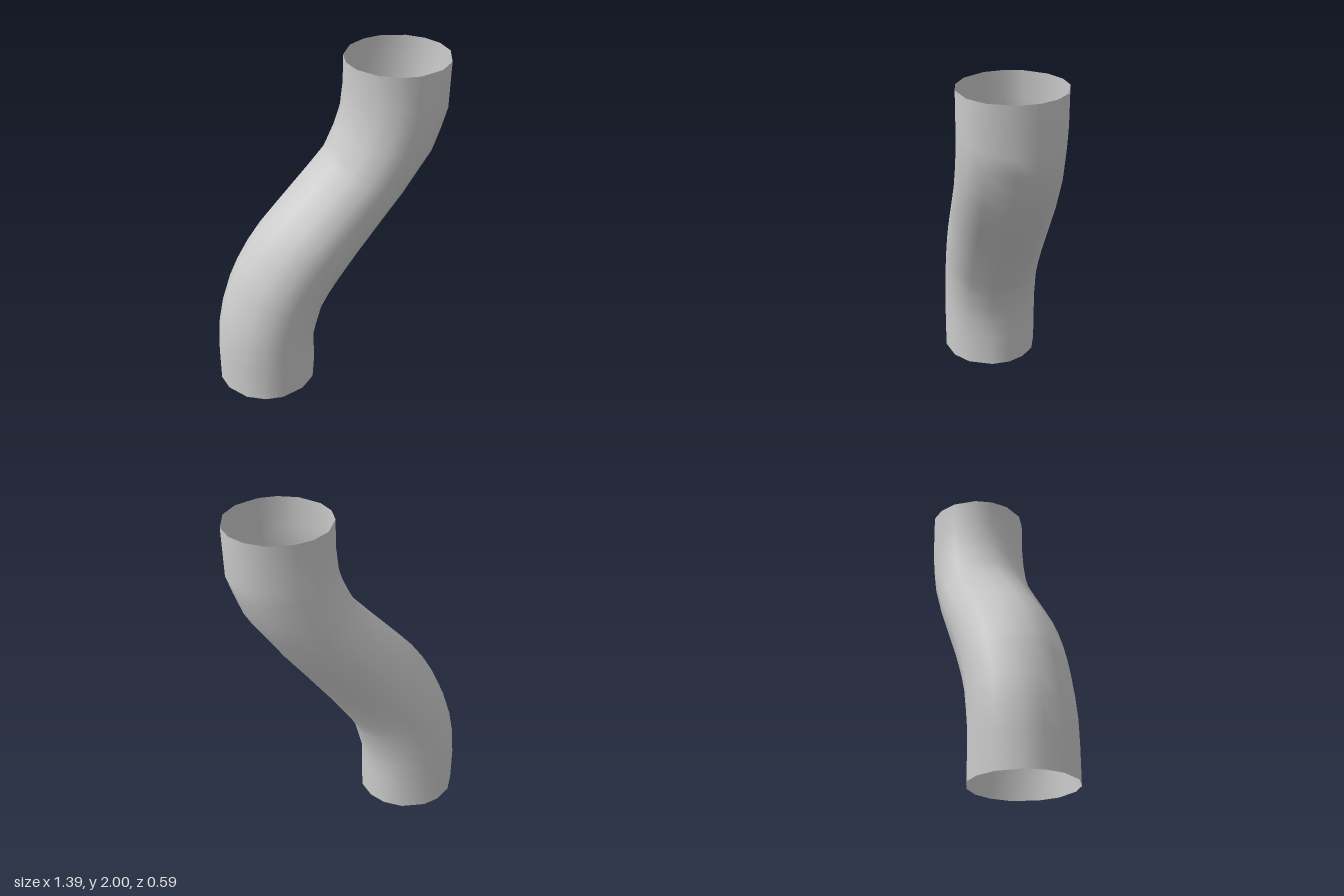
import * as THREE from 'three';

// Cross-sections of the bend, bottom to top: [left x, left y, right x, right y]
const SECTIONS = [
  [-0.70, 0.00, -0.105, 0.00],
  [-0.70, 0.20, -0.105, 0.20],
  [-0.685, 0.38, -0.105, 0.31],
  [-0.655, 0.53, -0.08, 0.41],
  [-0.60, 0.70, -0.05, 0.52],
  [-0.55, 0.81, -0.005, 0.60],
  [-0.48, 0.93, 0.04, 0.67],
  [-0.40, 1.04, 0.10, 0.757],
  [-0.30, 1.15, 0.16, 0.845],
  [-0.13, 1.33, 0.31, 1.05],
  [-0.02, 1.45, 0.43, 1.21],
  [0.01, 1.51, 0.52, 1.345],
  [0.05, 1.60, 0.605, 1.47],
  [0.085, 1.71, 0.655, 1.61],
  [0.10, 1.85, 0.69, 1.72],
  [0.10, 2.00, 0.695, 2.00],
];

// Uneven facet angles around the pipe, in degrees from +x towards +z
const ANGLES = [6, 36, 60, 88, 108, 131, 159, 180, 201, 229, 252, 272, 300, 323, 344];
const DEPTH = 0.294;

// Skin the open pipe through its elliptical sections
function pipeGeometry() {
  const positions = [], indices = [], n = ANGLES.length;
  SECTIONS.forEach(([lx, ly, rx, ry], i) => {
    ANGLES.forEach((deg, j) => {
      const a = THREE.MathUtils.degToRad(deg);
      const t = (1 + Math.cos(a)) / 2;
      positions.push(lx + (rx - lx) * t, ly + (ry - ly) * t, DEPTH * Math.sin(a));
      if (i === SECTIONS.length - 1) return;
      const p = i * n + j, q = i * n + (j + 1) % n;
      indices.push(p, p + n, q + n, p, q + n, q);
    });
  });
  const geometry = new THREE.BufferGeometry();
  geometry.setAttribute('position', new THREE.Float32BufferAttribute(positions, 3));
  geometry.setIndex(indices);
  geometry.computeVertexNormals();
  return geometry;
}

export function createModel() {
  const group = new THREE.Group();
  group.name = 'offsetPipe';
  const pipe = new THREE.Mesh(
    pipeGeometry(),
    new THREE.MeshStandardMaterial({ color: 0xcccccc, side: THREE.DoubleSide }),
  );
  pipe.name = 'pipeWall';
  group.add(pipe);
  return group;
}
